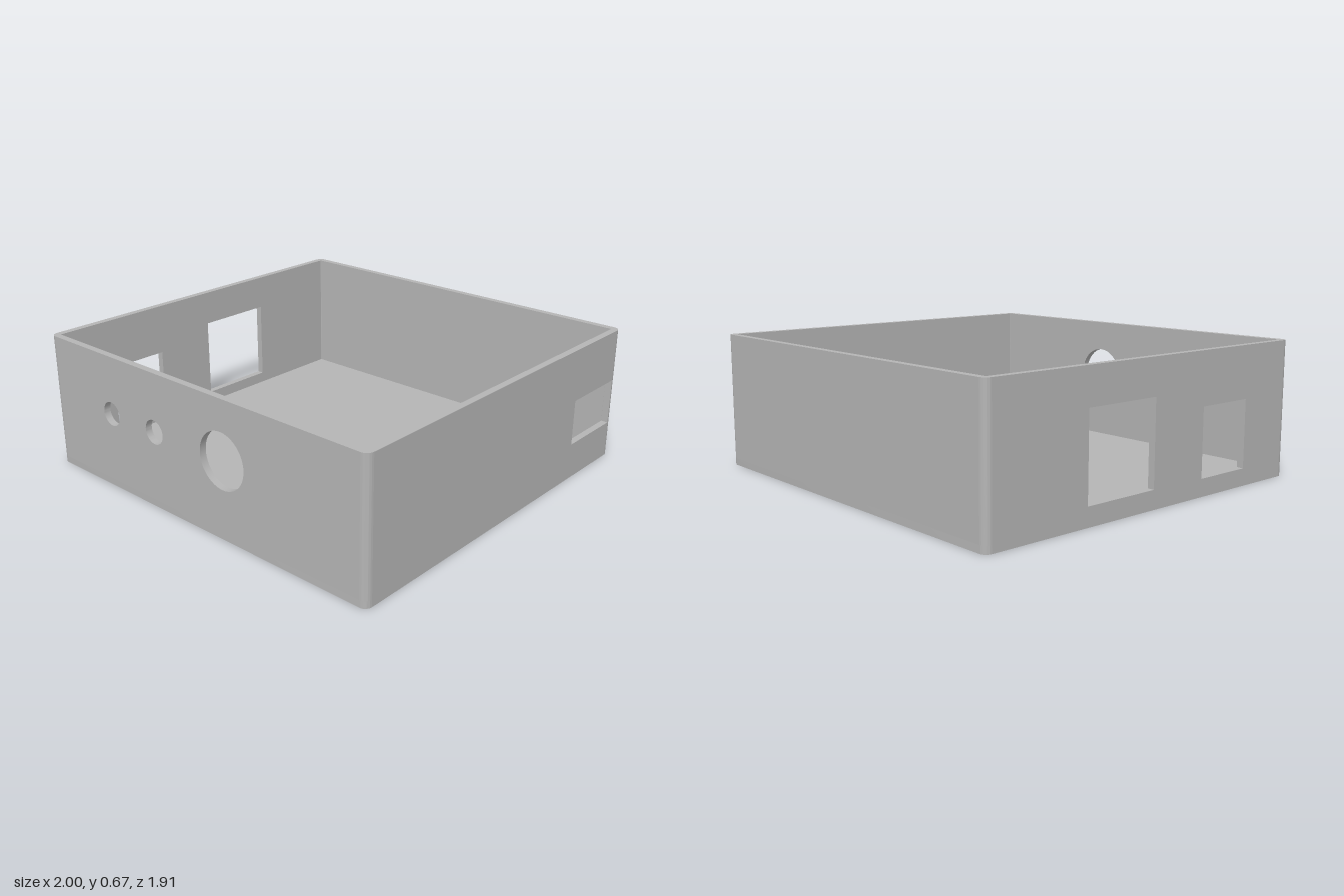
import * as THREE from 'three';
import { toCreasedNormals } from 'three/addons/utils/BufferGeometryUtils.js';

const W = 1, D = 0.955, H = 0.668; // half width, half depth, height
const T = 0.034, R = 0.036;        // wall thickness, outer corner radius

const extrude = (shape, depth) => toCreasedNormals(
  new THREE.ExtrudeGeometry(shape, { depth, bevelEnabled: false, curveSegments: 24 }), 0.5);

// Path around a rectangle, used for panels and windows
function rect(path, x0, y0, x1, y1) {
  path.moveTo(x0, y0);
  path.lineTo(x1, y0);
  path.lineTo(x1, y1);
  path.lineTo(x0, y1);
  path.closePath();
  return path;
}
const windowHole = (x0, y0, x1, y1) => rect(new THREE.Path(), x0, y0, x1, y1);
const roundHole = (x, y, r) => new THREE.Path().absarc(x, y, r, 0, Math.PI * 2, true);

export function createModel() {
  const box = new THREE.Group();
  box.name = 'enclosure';
  const grey = new THREE.MeshStandardMaterial({ color: 0xb4b4b4 });
  grey.name = 'grey plastic';

  const add = (name, geometry) => {
    const mesh = new THREE.Mesh(geometry, grey);
    mesh.name = name;
    box.add(mesh);
    return mesh;
  };

  // Floor with rounded corners
  const plan = new THREE.Shape();
  plan.absarc(W - R, D - R, R, 0, Math.PI / 2);
  plan.absarc(-W + R, D - R, R, Math.PI / 2, Math.PI);
  plan.absarc(-W + R, -D + R, R, Math.PI, Math.PI * 1.5);
  plan.absarc(W - R, -D + R, R, Math.PI * 1.5, Math.PI * 2);
  add('floor', extrude(plan, T).rotateX(-Math.PI / 2));

  // Four walls, each drawn as seen from outside and pierced by its openings
  const walls = [
    ['frontWall', 0, W, D, [
      roundHole(-0.556, 0.38, 0.059), roundHole(-0.248, 0.38, 0.059), roundHole(0.196, 0.38, 0.136)]],
    ['leftWall', Math.PI / 2, D, W, [windowHole(0.563, 0.18, 0.918, 0.407)]],
    ['backWall', Math.PI, W, D, []],
    ['rightWall', -Math.PI / 2, D, W, [
      windowHole(-0.41, 0.09, -0.005, 0.495), windowHole(0.32, 0.085, 0.63, 0.415)]],
  ];
  for (const [name, angle, half, distance, holes] of walls) {
    const panel = rect(new THREE.Shape(), -half + R, T, half - R, H);
    panel.holes.push(...holes);
    add(name, extrude(panel, T).translate(0, 0, distance - T).rotateY(angle));
  }

  // Rounded corner posts joining the walls
  const sector = new THREE.Shape();
  sector.absarc(0, 0, R, 0, Math.PI / 2);
  sector.absarc(0, 0, R - T, Math.PI / 2, 0, true);
  sector.closePath();
  const post = extrude(sector, H - T).rotateX(-Math.PI / 2);
  [[1, -1], [-1, -1], [-1, 1], [1, 1]].forEach(([sx, sz], i) => {
    const corner = add('cornerPost', post);
    corner.rotation.y = i * Math.PI / 2;
    corner.position.set(sx * (W - R), T, sz * (D - R));
  });

  return box;
}
